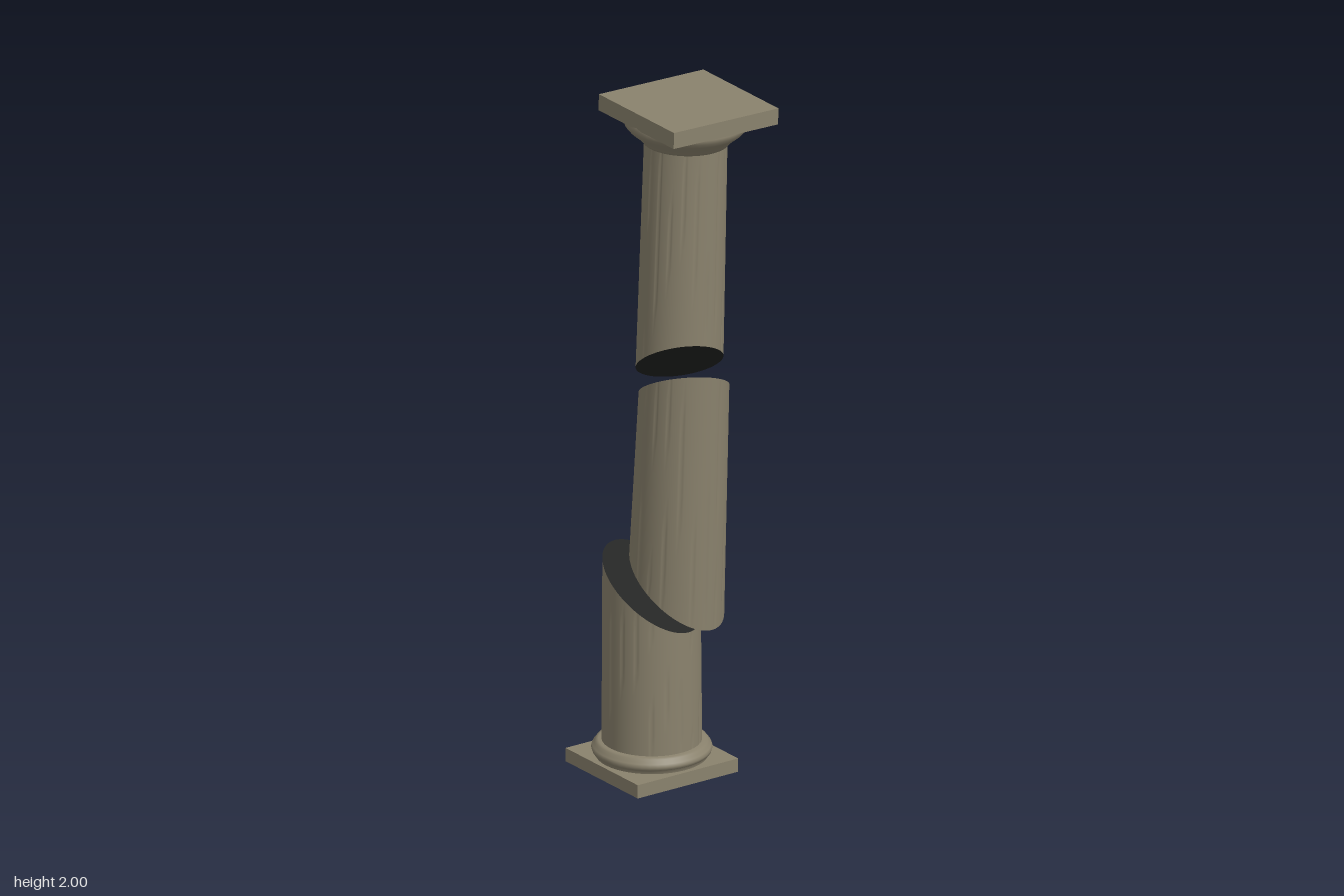
import * as THREE from 'three';

const stone = new THREE.MeshStandardMaterial({ color: 0x8a826d });
stone.name = 'weathered stone';
const dark = new THREE.MeshStandardMaterial({ color: 0x222322 });
dark.name = 'dark broken stone';

const FLUTES = 20, STEPS = 8, SIDES = FLUTES * STEPS, ROWS = 12;

// Small seeded random, for worn patches in the fluting
function seeded(seed) {
  let s = seed;
  return () => (s = (s * 16807) % 2147483647) / 2147483647;
}

function geometry(points, index) {
  const g = new THREE.BufferGeometry();
  g.setAttribute('position', new THREE.Float32BufferAttribute(points, 3));
  g.setIndex(index);
  g.computeVertexNormals();
  return g;
}

// An end is { c: [x, y, z], r, a, b }: a slanted cut with slope a along x and b along z
function endPoint(end, angle, groove) {
  const x = Math.cos(angle) * (end.r - groove), z = Math.sin(angle) * (end.r - groove);
  return [end.c[0] + x, end.c[1] + end.a * x + end.b * z, end.c[2] + z];
}

// Flat dark face closing a broken end
function breakFace(end, up) {
  const points = [...end.c], index = [];
  for (let i = 0; i < SIDES; i++) {
    points.push(...endPoint(end, (i / SIDES) * Math.PI * 2, 0));
    const p = 1 + i, q = 1 + ((i + 1) % SIDES);
    index.push(0, ...(up ? [q, p] : [p, q]));
  }
  return new THREE.Mesh(geometry(points, index), dark);
}

// Tapered drum between two cuts, with thin, partly worn grooves
function shaft(name, low, high, seed, capLow, capHigh) {
  const rand = seeded(seed), points = [], index = [];
  const worn = Array.from({ length: FLUTES }, () => [rand(), 0.25 + 0.6 * rand()]);
  for (let j = 0; j <= ROWS; j++) {
    const t = j / ROWS;
    for (let i = 0; i < SIDES; i++) {
      const [start, span] = worn[Math.floor(i / STEPS)];
      const cut = i % STEPS === 0 && (t - start + 1) % 1 < span && j > 0 && j < ROWS;
      const angle = (i / SIDES) * Math.PI * 2, groove = cut ? 0.003 : 0;
      const p = endPoint(low, angle, groove), q = endPoint(high, angle, groove);
      points.push(...p.map((v, k) => v + (q[k] - v) * t));
      if (j < ROWS) {
        const n = (i + 1) % SIDES, r0 = j * SIDES, r1 = r0 + SIDES;
        index.push(r0 + i, r1 + i, r0 + n, r0 + n, r1 + i, r1 + n);
      }
    }
  }
  const group = new THREE.Group();
  group.name = name;
  const drum = new THREE.Mesh(geometry(points, index), stone);
  drum.name = name + 'Drum';
  group.add(drum);
  for (const [use, end, up] of [[capLow, low, false], [capHigh, high, true]]) {
    if (!use) continue;
    const face = breakFace(end, up);
    face.name = name + (up ? 'UpperBreak' : 'LowerBreak');
    group.add(face);
  }
  return group;
}

function part(name, geo, x, y, z) {
  const mesh = new THREE.Mesh(geo, stone);
  mesh.name = name;
  mesh.position.set(x, y, z);
  return mesh;
}

function lathe(profile) {
  return new THREE.LatheGeometry(profile.map(([r, y]) => new THREE.Vector2(r, y)), 48);
}

export function createModel() {
  const model = new THREE.Group();
  model.name = 'brokenColumn';

  // Base: square plinth with a rounded moulding
  const bx = -0.042, bz = 0.051;
  model.add(part('plinth', new THREE.BoxGeometry(0.346, 0.04, 0.346), bx, 0.02, bz));
  model.add(part('baseMoulding', lathe([
    [0.158, 0.038], [0.16, 0.05], [0.167, 0.053], [0.17, 0.062], [0.167, 0.071],
    [0.16, 0.075], [0.158, 0.083], [0.15, 0.086], [0.138, 0.087],
  ]), bx, 0, bz));

  // Three drums, drifting apart at slanted breaks
  model.add(shaft('lowerShaft',
    { c: [bx, 0.08, bz], r: 0.141, a: 0, b: 0 },
    { c: [-0.043, 0.543, 0.051], r: 0.138, a: -0.7, b: 0.27 }, 11, false, true));
  model.add(shaft('middleShaft',
    { c: [0.055, 0.58, 0.035], r: 0.133, a: -0.75, b: 0.27 },
    { c: [0.08, 1.175, 0.028], r: 0.127, a: 0.57, b: 0.3 }, 57, true, true));
  model.add(shaft('upperShaft',
    { c: [-0.008, 1.215, -0.02], r: 0.123, a: 0.69, b: 0.32 },
    { c: [-0.003, 1.885, -0.038], r: 0.117, a: 0, b: 0.027 }, 93, true, false));

  // Capital: flared neck under a square slab, leaning slightly back
  const capital = new THREE.Group();
  capital.name = 'capital';
  capital.add(part('flaredNeck', lathe([
    [0.112, -0.002], [0.122, 0], [0.128, 0.008], [0.142, 0.022], [0.162, 0.038],
    [0.174, 0.052], [0.177, 0.064], [0.174, 0.074],
  ]), 0, 0, 0));
  capital.add(part('topSlab', new THREE.BoxGeometry(0.36, 0.048, 0.36), 0, 0.093, -0.006));
  capital.position.set(-0.002, 1.878, -0.038);
  capital.rotation.x = -0.027;
  // Positive z edge sits highest
  model.add(capital);

  return model;
}
